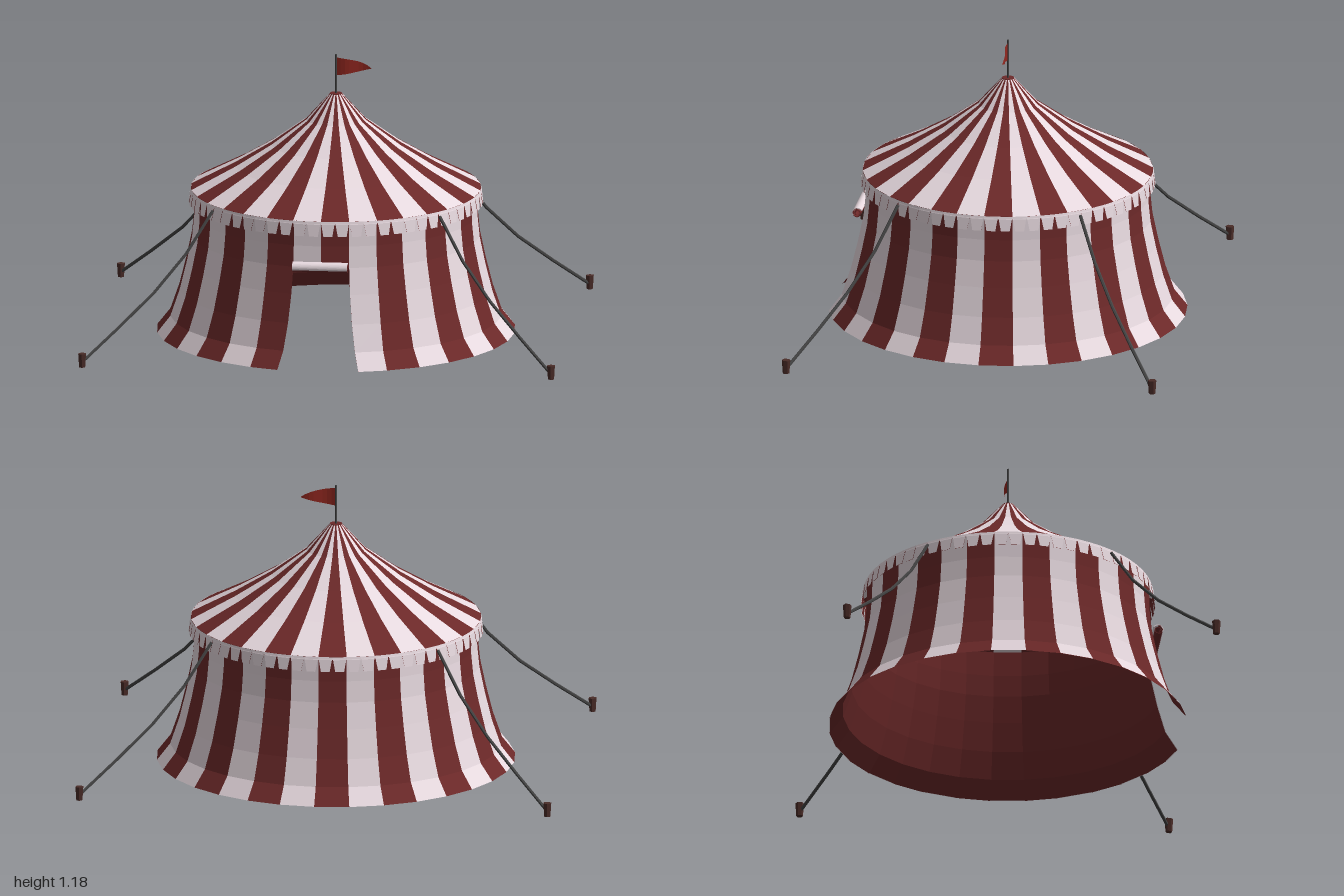
import * as THREE from 'three';

const SIDES = 32, STEP = (Math.PI * 2) / SIDES;
const paint = (color, side = THREE.DoubleSide) =>
  new THREE.MeshStandardMaterial({ color, side, flatShading: true });
const RED = 0x6c2929, WHITE = 0xe8dae0, DARK = 0x444444, WOOD = 0x4a2c28;

// Cloth strips: each strip is a list of rows [radius, y, startAngle, endAngle], bottom to top
function clothGeometry(strips, inset = 0) {
  const pos = [];
  const at = (r, y, a) => [(r - inset) * Math.sin(a), y, (r - inset) * Math.cos(a)];
  for (const rows of strips) {
    for (let i = 0; i + 1 < rows.length; i++) {
      const [r0, y0, a0, b0] = rows[i], [r1, y1, a1, b1] = rows[i + 1];
      const p = at(r0, y0, a0), q = at(r0, y0, b0), s = at(r1, y1, b1), t = at(r1, y1, a1);
      pos.push(...p, ...q, ...s, ...p, ...s, ...t);
    }
  }
  const g = new THREE.BufferGeometry();
  g.setAttribute('position', new THREE.Float32BufferAttribute(pos, 3));
  g.computeVertexNormals();
  return g;
}

export function createModel() {
  const model = new THREE.Group();
  const add = (name, geometry, material, parent = model) => {
    const m = new THREE.Mesh(geometry, material);
    m.name = name;
    parent.add(m);
    return m;
  };

  const doorTop = 0.41;
  const wallProfile = [[0.748, 0], [0.693, 0.07], [0.655, 0.18], [0.625, 0.3],
    [0.602, doorTop], [0.593, 0.5], [0.59, 0.608]];
  const roofProfile = [[0.605, 0.608], [0.42, 0.705], [0.27, 0.795], [0.125, 0.9], [0.026, 1.01]];

  // Striped panels, even ones red and odd ones white; two panels are open for the doorway
  const walls = [[], []], roofs = [[], []];
  for (let k = 0; k < SIDES; k++) {
    const a = k * STEP, b = a + STEP;
    const isDoor = k === 0 || k === SIDES - 1;
    const flare = (y) => 0.033 * Math.max(0, 1 - y / doorTop) ** 2;
    walls[k % 2].push(wallProfile.filter(([, y]) => !isDoor || y >= doorTop).map(([r, y]) => [
      r, y,
      a + (k === 1 ? flare(y) : 0),
      b - (k === SIDES - 2 ? flare(y) : 0),
    ]));
    roofs[k % 2].push(roofProfile.map(([r, y]) => [r, y, a, b]));
  }
  [['red', RED], ['white', WHITE]].forEach(([label, color], i) => {
    add(label + 'WallPanels', clothGeometry(walls[i]), paint(color));
    add(label + 'RoofPanels', clothGeometry(roofs[i]), paint(color));
  });
  add('wallLining', clothGeometry([...walls[0], ...walls[1]], 0.003), paint(RED));
  add('peakCap', new THREE.CylinderGeometry(0.026, 0.026, 0.004, 16).translate(0, 1.01, 0), paint(RED));

  // Valance of tapered tabs under the eaves, with a red lining
  const tabs = [];
  for (let k = 0; k < SIDES * 2; k++) {
    const c = (k + 0.5) * STEP / 2, h = STEP / 4;
    tabs.push([[0.614, 0.547, c - 0.03, c + 0.03], [0.608, 0.597, c - 0.045, c + 0.045],
      [0.607, 0.6, c - h, c + h], [0.605, 0.609, c - h, c + h]]);
  }
  add('valance', clothGeometry(tabs), paint(WHITE));
  add('valanceLining', clothGeometry(tabs, 0.002), paint(RED));

  // Rolled-up door flap: a thick red spiral with the white outer cloth over its top and front
  const spiral = (thickness, start, end) => {
    const outer = [], inner = [];
    for (let i = 0; i <= 20; i++) {
      const t = start + ((end - start) * i) / 20;
      const r = 0.019 - 0.0014 * t;
      // Shape x runs along -z, so the extrusion can be turned to run along x
      const point = (q) => new THREE.Vector2(-0.618 - q * Math.sin(t), 0.415 + q * Math.cos(t));
      outer.push(point(r + thickness));
      inner.unshift(point(r));
    }
    return new THREE.ExtrudeGeometry(new THREE.Shape([...outer, ...inner]),
      { depth: 0.23, bevelEnabled: false }).rotateY(Math.PI / 2).translate(-0.117, 0, 0);
  };
  add('rolledFlap', spiral(0.003, 0, 9), paint(RED));
  add('rolledFlapCover', spiral(0.0045, -1, 2).translate(0, 0, 0), paint(WHITE));

  // Four sagging guy ropes with pegs
  for (const sx of [1, -1]) {
    for (const sz of [1, -1]) {
      const guy = new THREE.Group();
      guy.name = 'guyLine';
      const pts = [[0.475, 0.59, 0.385], [0.62, 0.365, 0.495], [0.8, 0.185, 0.632], [0.98, 0.025, 0.77]]
        .map(([x, y, z]) => new THREE.Vector3(x * sx, y, z * sz));
      add('rope', new THREE.TubeGeometry(new THREE.CatmullRomCurve3(pts), 4, 0.007, 6), paint(DARK), guy);
      const peg = add('peg', new THREE.CylinderGeometry(0.018, 0.014, 0.058, 6), paint(WOOD), guy);
      peg.position.set(0.982 * sx, 0.031, 0.773 * sz);
      model.add(guy);
    }
  }

  // Flagpole and pennant
  add('flagpole', new THREE.CylinderGeometry(0.005, 0.005, 0.175, 8).translate(0, 1.09, 0), paint(DARK));
  const flag = new THREE.PlaneGeometry(1, 1, 8, 1);
  const fp = flag.attributes.position;
  for (let i = 0; i < fp.count; i++) {
    const u = fp.getX(i) + 0.5, upper = fp.getY(i) > 0;
    const y = upper ? 1.165 - 0.02 * u - 0.025 * u ** 4 : 1.088 + 0.032 * u ** 1.3;
    fp.setXYZ(i, 0.15 * u, y, 0.005 * Math.sin(u * Math.PI * 2));
  }
  flag.computeVertexNormals();
  add('pennant', flag, paint(0x942820));

  return model;
}
